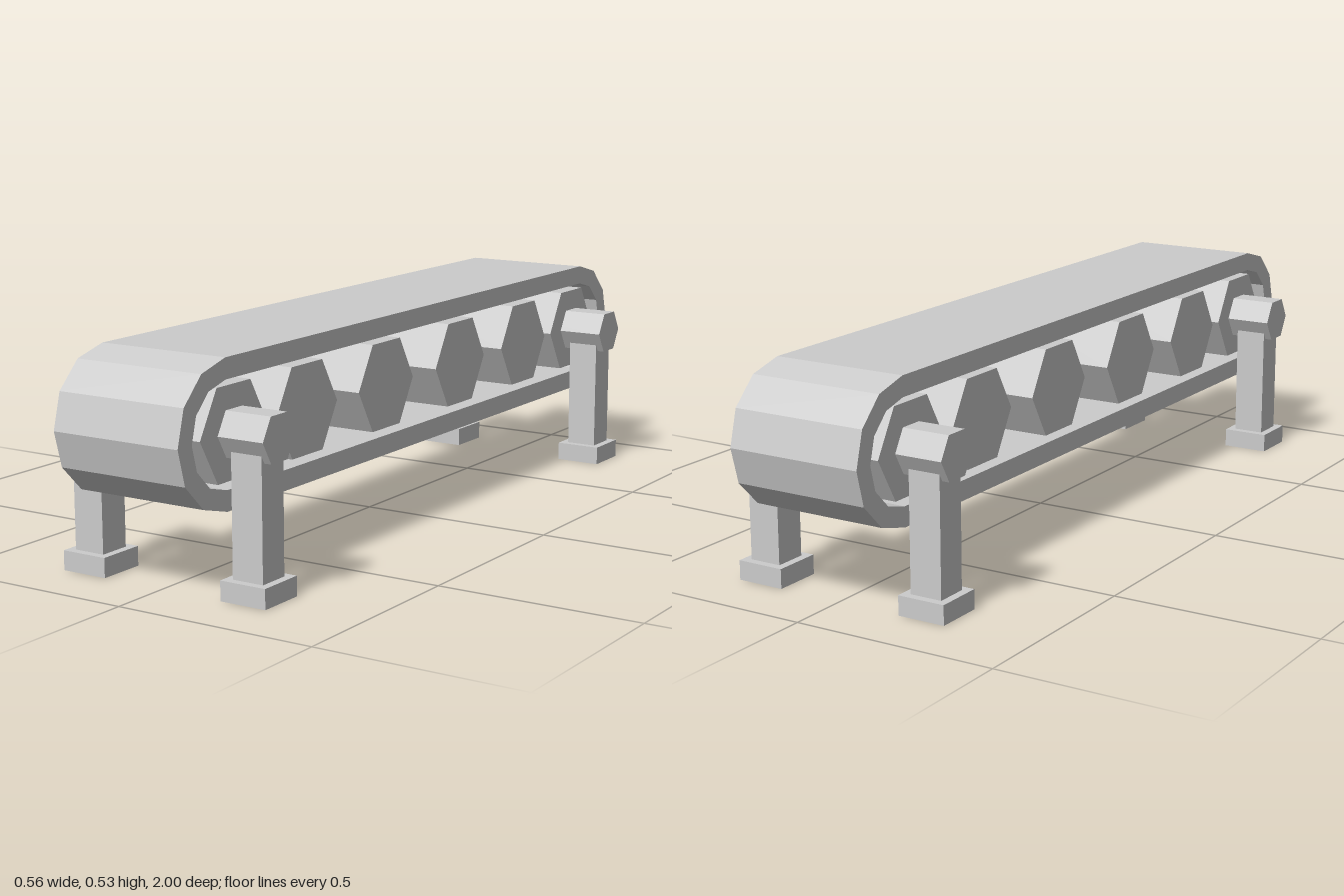
import * as THREE from 'three';

export function createModel() {
  const model = new THREE.Group();
  model.name = 'conveyor';
  const grey = new THREE.MeshStandardMaterial({ color: 0xcccccc, flatShading: true });
  grey.name = 'light grey';

  const axisY = 0.365, endZ = 0.793, halfWidth = 0.168;

  function add(name, geometry, x, y, z) {
    const mesh = new THREE.Mesh(geometry, grey);
    mesh.name = name;
    mesh.position.set(x, y, z);
    model.add(mesh);
  }

  // Six-sided bar lying along x
  const hexBar = (radius, length) =>
    new THREE.CylinderGeometry(radius, radius, length, 6).rotateZ(Math.PI / 2);

  // Stadium outline with faceted round ends
  function stadium(radius, centre) {
    const points = [];
    for (const side of [1, -1]) {
      for (let i = 0; i <= 6; i++) {
        const a = -Math.PI / 2 + (i * Math.PI) / 6;
        points.push(new THREE.Vector2(
          side * (centre + radius * Math.cos(a)), side * radius * Math.sin(a)));
      }
    }
    return points;
  }

  // Belt loop
  const beltShape = new THREE.Shape(stadium(0.169, 0.831));
  beltShape.holes.push(new THREE.Path(stadium(0.121, 0.831).reverse()));
  const belt = new THREE.ExtrudeGeometry(beltShape, { depth: halfWidth * 2, bevelEnabled: false });
  belt.translate(0, 0, -halfWidth).rotateY(Math.PI / 2);
  add('belt', belt, 0, axisY, 0);

  // Rollers and the beam joining them
  for (const z of [endZ, 0.514, 0.177, -0.177, -0.514, -endZ]) {
    add('roller', hexBar(0.122, 0.322), 0, axisY, z);
  }
  add('centreBeam', new THREE.BoxGeometry(0.086, 0.086, endZ * 2), 0, axisY + 0.002, 0);

  // Axles with a post and foot under each end
  for (const z of [endZ, -endZ]) {
    add('axle', hexBar(0.06, 0.558), 0, axisY, z);
    for (const side of [1, -1]) {
      add('post', new THREE.BoxGeometry(0.08, 0.33, 0.08), side * 0.221, 0.195, z);
      add('foot', new THREE.BoxGeometry(0.119, 0.047, 0.119), side * 0.221, 0.0235, z);
    }
  }
  return model;
}
